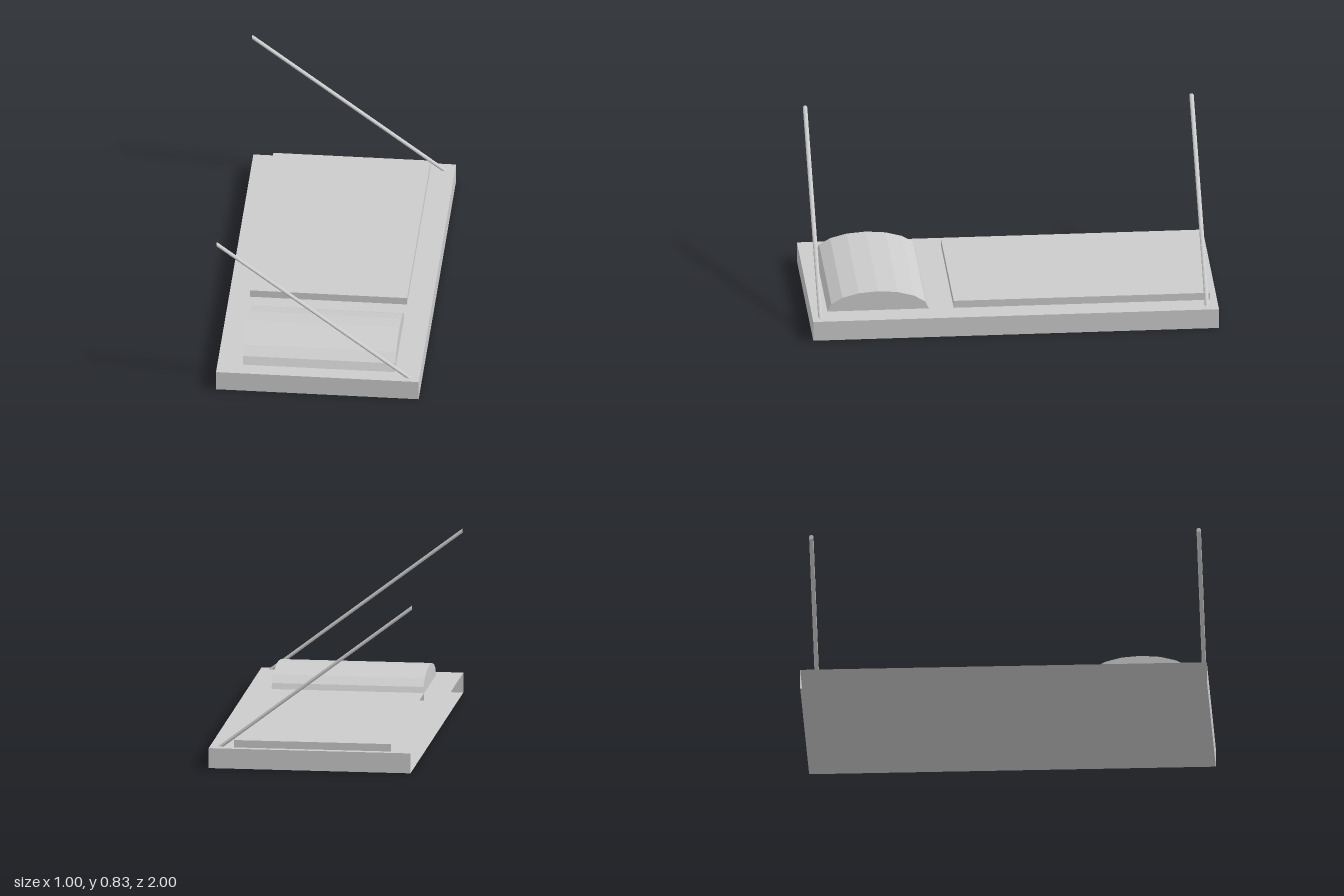
import * as THREE from 'three';

const material = new THREE.MeshStandardMaterial({
  color: 0xcccccc, flatShading: true, side: THREE.DoubleSide,
});

// Box given by its limits, leaving out the listed faces (0 +x, 1 -x, 2 +y, 3 -y, 4 +z, 5 -z)
function openBox([x0, x1], [y0, y1], [z0, z1], omit) {
  const geo = new THREE.BoxGeometry(x1 - x0, y1 - y0, z1 - z0);
  geo.translate((x0 + x1) / 2, (y0 + y1) / 2, (z0 + z1) / 2);
  geo.setIndex(Array.from(geo.index.array).filter((_, i) => !omit.includes(Math.floor(i / 6))));
  geo.clearGroups();
  return geo;
}

// Slanted pole: a round bar along x, sheared so that its ends stay upright
function slantedPole(x0, x1, z) {
  const radius = 0.011, slope = -0.76, heightAtCentre = 0.439;
  const geo = new THREE.CylinderGeometry(radius, radius, x1 - x0, 12);
  geo.rotateZ(Math.PI / 2);
  geo.translate((x0 + x1) / 2, 0, z);
  const pos = geo.attributes.position;
  for (let i = 0; i < pos.count; i++) {
    pos.setY(i, pos.getY(i) + heightAtCentre + slope * pos.getX(i));
  }
  geo.computeVertexNormals();
  return geo;
}

export function createModel() {
  const group = new THREE.Group();
  const add = (name, geo) => {
    const mesh = new THREE.Mesh(geo, material);
    mesh.name = name;
    group.add(mesh);
  };

  // Hollow base, open on its -x side
  add('base', openBox([-0.5, 0.5], [0, 0.1], [-1, 1], [1]));

  // Thin blanket slab, open on the same side and resting on the base
  add('blanket', openBox([-0.398, 0.378], [0.1, 0.137], [-0.966, 0.298], [1, 3]));

  // Pillow: flattened half cylinder lying across the base
  const pillow = new THREE.CylinderGeometry(1, 1, 0.75, 8, 1, false, 0, Math.PI);
  pillow.rotateZ(Math.PI / 2);
  pillow.scale(1, 0.1, 0.25);
  pillow.translate(0, 0.1, 0.67);
  add('pillow', pillow);

  // Poles at both ends
  add('frontPole', slantedPole(-0.5, 0.458, 0.96));
  add('backPole', slantedPole(-0.5, 0.458, -0.945));

  return group;
}
